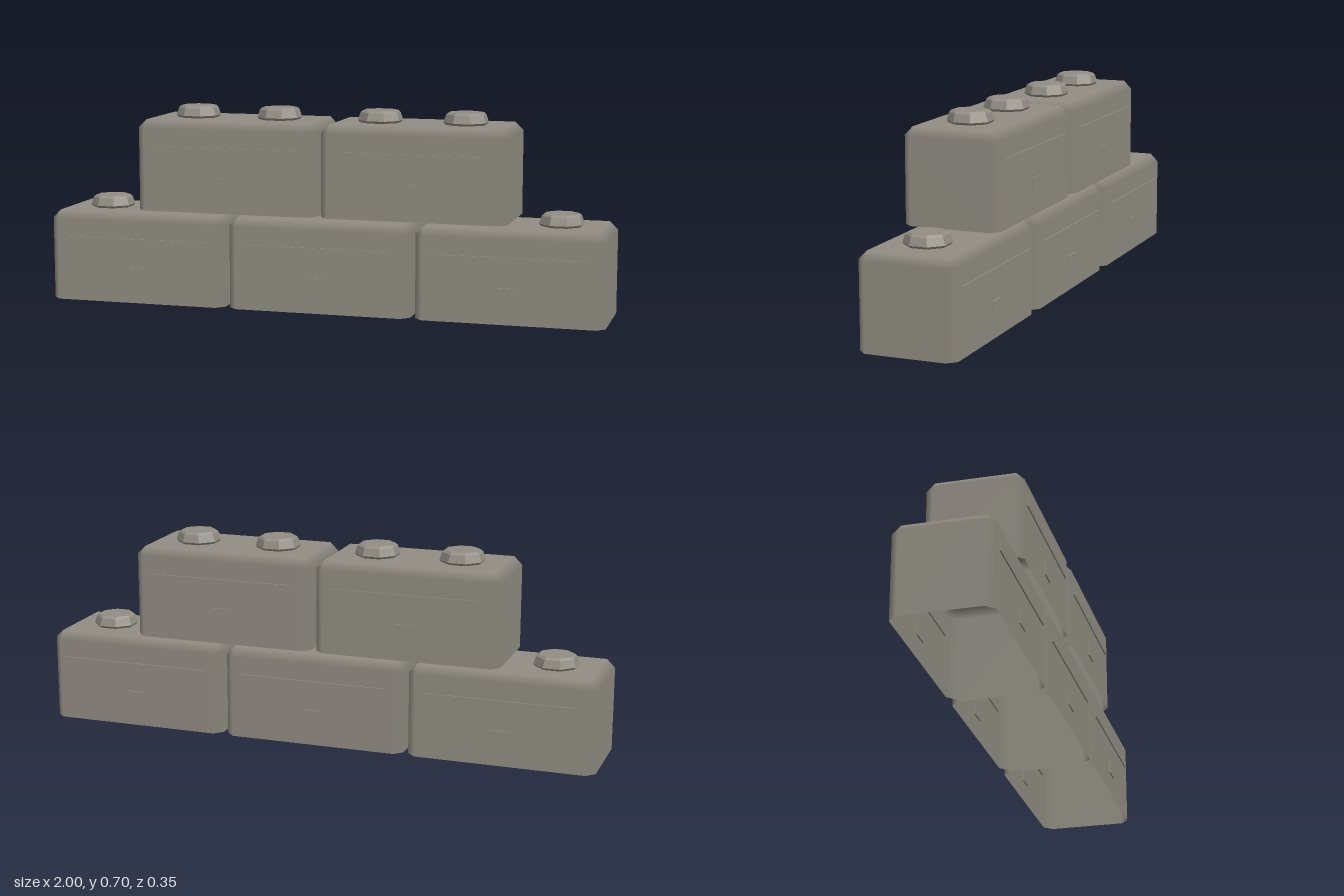
import * as THREE from 'three';

const stone = new THREE.MeshStandardMaterial({ color: 0x928e84, side: THREE.DoubleSide });
stone.name = 'stone grey';

const W = 0.655, H = 0.323, D = 0.336, BEVEL = 0.029;

// Hollow block, open underneath, with softly shaded chamfers on the other edges
function blockShell() {
  const half = [W / 2, H / 2, D / 2];
  const pos = [], nor = [];

  // Corner of the face that looks along the given axis; s holds the three signs
  const corner = (axis, s) => {
    const p = s.map((v, i) => v * (half[i] - (i === axis ? 0 : BEVEL)));
    if (s[1] < 0) p[1] = -half[1];
    const n = [0, 0, 0];
    n[axis] = s[axis];
    return { p: new THREE.Vector3(...p), n };
  };
  const tri = (a, b, c) => {
    const normal = b.p.clone().sub(a.p).cross(c.p.clone().sub(a.p));
    const mid = a.p.clone().add(b.p).add(c.p);
    const order = normal.dot(mid) > 0 ? [a, b, c] : [a, c, b];
    for (const v of order) {
      pos.push(...v.p.toArray());
      nor.push(...v.n);
    }
  };
  const quad = (a, b, c, d) => { tri(a, b, c); tri(a, c, d); };
  const signs = (a, sa, b, sb, c, sc) => {
    const s = [0, 0, 0];
    s[a] = sa; s[b] = sb; s[c] = sc;
    return s;
  };

  for (let a = 0; a < 3; a++) {
    const b = (a + 1) % 3, c = (a + 2) % 3;
    for (const sa of [-1, 1]) {
      // Flat faces
      if (!(a === 1 && sa < 0)) {
        const f = (u, v) => corner(a, signs(a, sa, b, u, c, v));
        quad(f(-1, -1), f(1, -1), f(1, 1), f(-1, 1));
      }
      // Chamfered edges between face a and face b
      for (const sb of [-1, 1]) {
        if ((a === 1 && sa < 0) || (b === 1 && sb < 0)) continue;
        const e = (axis, v) => corner(axis, signs(a, sa, b, sb, c, v));
        quad(e(a, -1), e(a, 1), e(b, 1), e(b, -1));
      }
    }
  }
  // Top corners
  for (const x of [-1, 1]) for (const z of [-1, 1]) {
    tri(...[0, 1, 2].map((axis) => corner(axis, [x, 1, z])));
  }

  const g = new THREE.BufferGeometry();
  g.setAttribute('position', new THREE.Float32BufferAttribute(pos, 3));
  g.setAttribute('normal', new THREE.Float32BufferAttribute(nor, 3));
  return g.translate(0, H / 2, 0);
}

// Eight-sided stud; widths are measured across the flats
function studGeometry() {
  const k = 1 / Math.cos(Math.PI / 8);
  const profile = [[0.067, 0], [0.0735, 0.008], [0.065, 0.035], [0.057, 0.042], [0, 0.042]]
    .map(([r, y]) => new THREE.Vector2(r * k, y));
  const g = new THREE.LatheGeometry(profile, 8, Math.PI / 8).toNonIndexed();
  g.computeVertexNormals();
  return g;
}

export function createModel() {
  const model = new THREE.Group();
  model.name = 'blockWall';
  const shell = blockShell();
  const stud = studGeometry();
  const strip = new THREE.BoxGeometry(0.54, 0.022, 0.0095);
  const patch = new THREE.BoxGeometry(0.066, 0.05, 0.0095);

  const add = (parent, geometry, name, x, y, z) => {
    const mesh = new THREE.Mesh(geometry, stone);
    mesh.name = name;
    mesh.position.set(x, y, z);
    parent.add(mesh);
  };

  const addBlock = (name, x, y) => {
    const block = new THREE.Group();
    block.name = name;
    block.position.set(x, y, 0);
    add(block, shell, 'blockShell', 0, 0, 0);
    for (const sx of [-1, 1]) add(block, stud, 'stud', sx * 0.152, H, 0);
    // Raised strip and patch on both long walls
    for (const sz of [-1, 1]) {
      add(block, strip, 'wallStrip', 0, 0.221, sz * D / 2);
      add(block, patch, 'wallPatch', 0, 0.102, sz * D / 2);
    }
    model.add(block);
  };

  // Staggered courses
  for (const i of [-1, 0, 1]) addBlock('lowerBlock', i * 0.6725, 0);
  for (const i of [-1, 1]) addBlock('upperBlock', i * 0.336, 0.337);
  return model;
}
